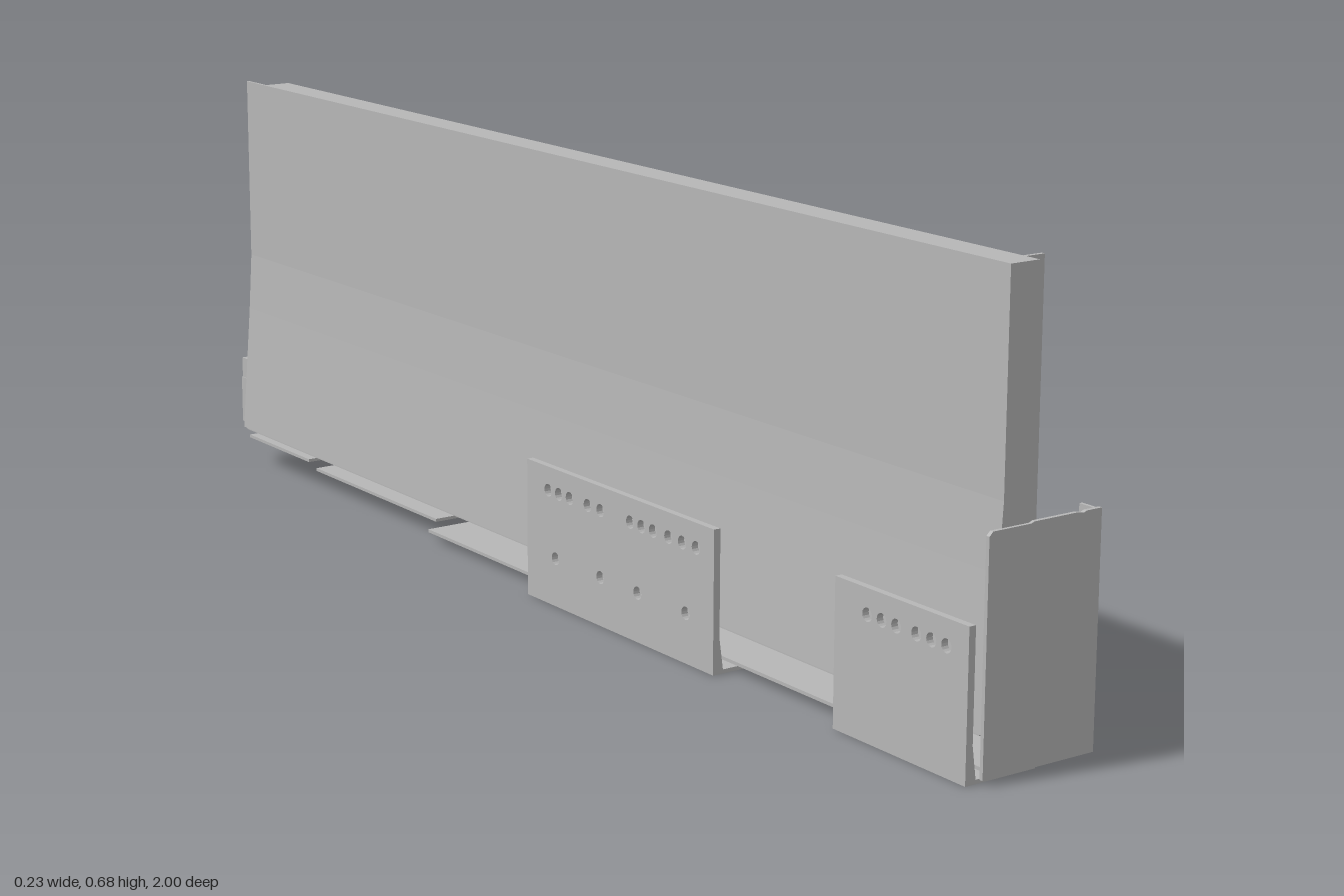
import * as THREE from 'three';

export function createModel() {
  const model = new THREE.Group();
  const steel = new THREE.MeshStandardMaterial({ color: 0xb6b6b6 });
  steel.name = 'grey steel';

  const add = (name, geometry) => {
    const mesh = new THREE.Mesh(geometry, steel);
    mesh.name = name;
    model.add(mesh);
    return mesh;
  };
  // Box given by its limits on each axis
  const box = (name, x0, x1, y0, y1, z0, z1) =>
    add(name, new THREE.BoxGeometry(x1 - x0, y1 - y0, z1 - z0)
      .translate((x0 + x1) / 2, (y0 + y1) / 2, (z0 + z1) / 2));
  // Plate outline with elliptical holes [u, v, ru, rv]
  const outline = (points, holes = []) => {
    const shape = new THREE.Shape(points.map(p => new THREE.Vector2(...p)));
    for (const [u, v, ru, rv = ru] of holes) {
      const path = new THREE.Path();
      path.absellipse(u, v, ru, rv, 0, Math.PI * 2, true);
      shape.holes.push(path);
    }
    return shape;
  };
  const rect = (u0, u1, v0, v1) => [[u0, v0], [u1, v0], [u1, v1], [u0, v1]];
  const extrude = (shape, depth) =>
    new THREE.ExtrudeGeometry(shape, { depth, bevelEnabled: false, curveSegments: 8 });
  // Section in x,y running from z0 to z1
  const alongZ = (name, shape, z0, z1) => add(name, extrude(shape, z1 - z0).translate(0, 0, z0));
  // Outline in z,y with thickness from x0 to x1
  const alongX = (name, shape, x0, x1) =>
    add(name, extrude(shape, x1 - x0).rotateY(-Math.PI / 2).translate(x1, 0, 0));
  // Outline in x,z with thickness from y0 to y1
  const alongY = (name, shape, y0, y1) =>
    add(name, extrude(shape, y1 - y0).rotateX(Math.PI / 2).translate(0, y1, 0));

  // Drawer side: straight upper wall, flared outer skirt
  alongZ('sidePanel', outline([
    [-0.073, 0.68], [-0.073, 0.375], [-0.079, 0.28], [-0.096, 0.067],
    [-0.03, 0.067], [-0.03, 0.13], [-0.025, 0.13], [-0.025, 0.68],
  ]), -0.91, 0.995);
  // Outer skin carries on past the rear end of the panel
  alongZ('rearOuterSkin', outline([
    [-0.073, 0.68], [-0.073, 0.375], [-0.079, 0.28], [-0.096, 0.067],
    [-0.091, 0.067], [-0.074, 0.28], [-0.068, 0.375], [-0.068, 0.68],
  ]), -0.97, -0.91);

  // Rear flange and its hooks for the back wall
  box('rearFlange', -0.056, -0.051, 0.16, 0.675, -0.965, -0.91);
  box('rearFlangeWeb', -0.07, -0.051, 0.16, 0.675, -0.918, -0.91);
  for (const y of [0.43, 0.54, 0.635]) box('rearHook', -0.052, -0.04, y - 0.016, y + 0.016, -0.949, -0.933);

  // Rear bracket clipped on the end of the panel
  box('rearBracket', -0.082, -0.042, 0.07, 0.15, -1, -0.93);
  box('rearBracketStep', -0.06, -0.03, 0.075, 0.155, -0.935, -0.905);
  box('rearBracketPin', -0.08, -0.05, 0.15, 0.185, -1, -0.972);

  // Front fixing flange with screw holes
  alongZ('frontFlange', outline(rect(-0.026, 0.031, 0.16, 0.673),
    [0.648, 0.542, 0.335, 0.27].map((y, i) => [0.005, y, 0.01, i < 2 ? 0.013 : 0.009])), 0.937, 0.943);

  // Front cover plate with softened upper corners
  alongZ('frontPlate', outline([
    [-0.1, 0.009], [0.092, 0.009], [0.092, 0.342], [0.066, 0.342], [0.06, 0.34],
    [0.05, 0.342], [-0.025, 0.342], [-0.03, 0.34], [-0.094, 0.34], [-0.1, 0.334],
  ]), 0.994, 1);
  box('plateSpacer', -0.02, 0.05, 0.05, 0.1, 0.96, 0.994);
  alongX('upperTab', outline(rect(0.963, 0.995, 0.312, 0.34), [[0.978, 0.326, 0.007]]), 0.087, 0.092);
  alongX('lowerTab', outline(rect(0.955, 0.995, 0.022, 0.048), [[0.975, 0.035, 0.007]]), 0.087, 0.092);
  box('lowerTabHook', 0.09, 0.115, 0.022, 0.048, 0.953, 0.957);

  // Runner: top flange with holes, and stepped rail hanging below it
  alongY('runnerFlange', outline([
    [-0.09, -0.97], [-0.04, -0.97], [-0.03, -0.905], [0.017, -0.905], [0.017, 0.98], [-0.09, 0.98],
  ], [0.08, 0.51, 0.94].map(z => [-0.005, z, 0.011])), 0.062, 0.067);
  alongX('runnerSide', outline([
    [0.98, 0.063], [0.98, 0.015], [-0.37, 0.015], [-0.37, 0.03],
    [-0.76, 0.03], [-0.76, 0.048], [-0.905, 0.048], [-0.905, 0.063],
  ]), 0.012, 0.017);
  box('runnerFloor', -0.085, 0.017, 0.013, 0.018, -0.37, 0.98);
  box('runnerRearFloor', -0.07, 0.017, 0.028, 0.033, -0.76, -0.37);
  alongY('runnerTail', outline([
    [-0.085, -0.76], [-0.085, -0.97], [-0.035, -0.97], [0.015, -0.905], [0.015, -0.76],
  ]), 0.046, 0.051);

  // Outer mounting brackets: drilled upright plate with a foot under the runner
  const bracket = (name, z0, z1, upper, lower, footZ0, footZ1) => {
    const at = f => z0 + f * (z1 - z0);
    const holes = [...upper.map(f => [at(f), 0.178, 0.01]), ...lower.map(f => [at(f), 0.075, 0.01])];
    alongX(name + 'Upright', outline(rect(z0, z1, 0, 0.215), holes), -0.116, -0.105);
    box(name + 'Foot', -0.11, 0.004, 0, 0.006, footZ0, footZ1);
    alongZ(name + 'Fillet', outline([[-0.106, 0.003], [-0.098, 0.003], [-0.106, 0.06]]), z0, z1);
  };
  bracket('middleBracket', -0.03, 0.445,
    [0.12, 0.18, 0.24, 0.34, 0.41, 0.57, 0.63, 0.69, 0.77, 0.84, 0.91], [0.16, 0.41, 0.61, 0.86], -0.03, 0.445);
  bracket('frontBracket', 0.715, 0.985, [0.25, 0.36, 0.47, 0.62, 0.73, 0.84], [], 0.715, 0.985);

  return model;
}
